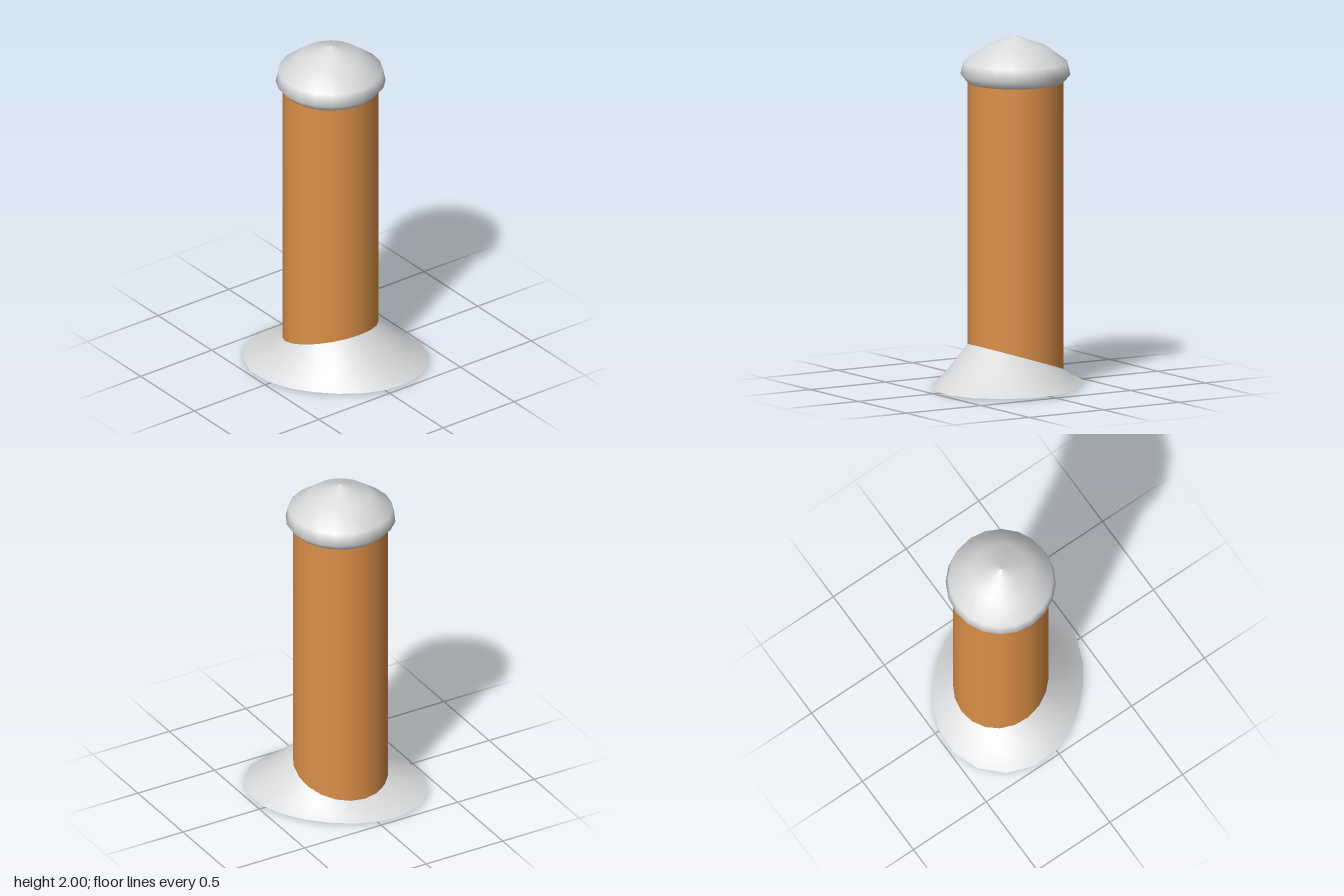
import * as THREE from 'three';

const SIDES = 20;
const AXIS_X = -0.05; // the post stands off-centre on its foot
const POST_R = 0.27;

// Rings of the skewed foot: t = 0 at the post, t = 1 at the outer rim
function footPoint(t, drop, angle) {
  const rim = 0.475 - 0.055 * Math.sin(2 * angle);
  const ix = AXIS_X + POST_R * Math.cos(angle);
  const iz = POST_R * Math.sin(angle);
  const top = 0.166 + 0.315 * (ix - AXIS_X); // slanted collar line
  return [
    THREE.MathUtils.lerp(ix, rim * Math.cos(angle), t),
    0.01 + (top - 0.01) * drop,
    THREE.MathUtils.lerp(iz, rim * Math.sin(angle), t),
  ];
}

// Smooth surface through a list of [t, height fraction] rings
function footSurface(rings) {
  const pos = [], index = [];
  for (const [t, drop] of rings)
    for (let i = 0; i < SIDES; i++) pos.push(...footPoint(t, drop, (i / SIDES) * Math.PI * 2));
  for (let r = 0; r < rings.length - 1; r++)
    for (let i = 0; i < SIDES; i++) {
      const a = r * SIDES + i, b = r * SIDES + ((i + 1) % SIDES);
      index.push(a, b, a + SIDES, b, b + SIDES, a + SIDES);
    }
  const g = new THREE.BufferGeometry();
  g.setAttribute('position', new THREE.Float32BufferAttribute(pos, 3));
  g.setIndex(index);
  g.computeVertexNormals();
  return g;
}

export function createModel() {
  const model = new THREE.Group();
  const orange = new THREE.MeshStandardMaterial({ color: 0xdc9048 });
  orange.name = 'orange';
  const grey = new THREE.MeshStandardMaterial({ color: 0xd8d9db });
  grey.name = 'light grey';

  const add = (name, geometry, material) => {
    const mesh = new THREE.Mesh(geometry, material);
    mesh.name = name;
    model.add(mesh);
    return mesh;
  };

  // Straight round post
  add('post', new THREE.CylinderGeometry(POST_R, POST_R, 1.74, SIDES), orange)
    .position.set(AXIS_X, 0.87, 0);

  // Domed cap
  const profile = [[POST_R - 0.01, 1.73], [POST_R, 1.73], [0.31, 1.775], [0.295, 1.845], [0.175, 1.935], [0, 2]]
    .map(([x, y]) => new THREE.Vector2(x, y));
  add('cap', new THREE.LatheGeometry(profile, SIDES), grey).position.x = AXIS_X;

  // Flared foot with a slanted collar, and its flat underside
  add('foot', footSurface([[0, 1], [0.57, 0.38], [0.88, 0.1], [1, 0]]), grey);
  add('footUnderside', footSurface([[1, 0], [0, 0]]), grey);

  return model;
}
